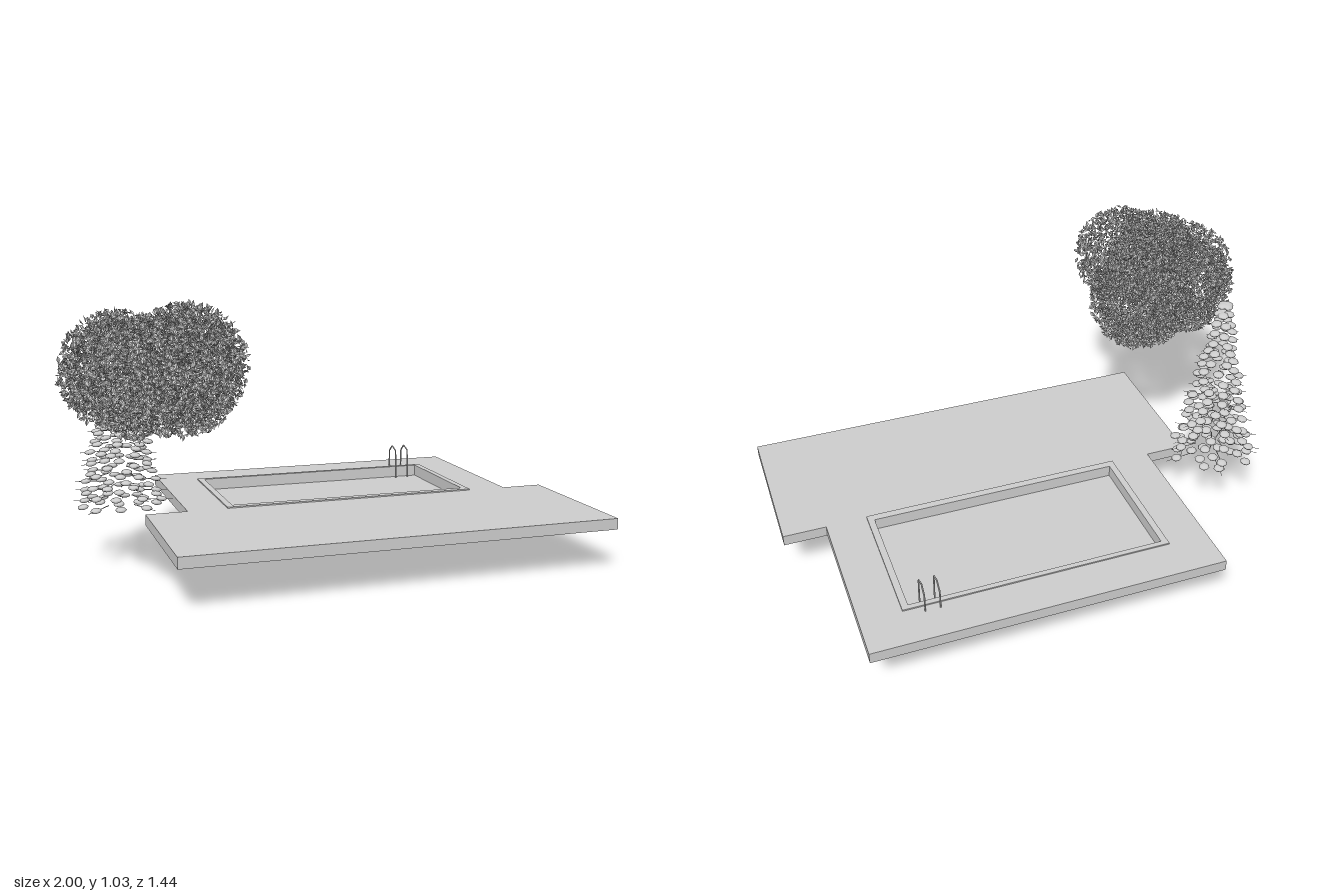
import * as THREE from 'three';
import { mergeGeometries } from 'three/addons/utils/BufferGeometryUtils.js';

const grey = new THREE.MeshStandardMaterial({ color: 0xcccccc, side: THREE.DoubleSide });
grey.name = 'pale grey';

// Small seeded random generator
function seeded(seed) {
  return () => {
    seed = (seed * 1664525 + 1013904223) % 4294967296;
    return seed / 4294967296;
  };
}

function add(parent, name, geometry) {
  const mesh = new THREE.Mesh(geometry, grey);
  mesh.name = name;
  parent.add(mesh);
  return mesh;
}

// Box given by its limits on each axis
function box(x0, x1, y0, y1, z0, z1) {
  return new THREE.BoxGeometry(x1 - x0, y1 - y0, z1 - z0)
    .translate((x0 + x1) / 2, (y0 + y1) / 2, (z0 + z1) / 2);
}

// Horizontal plate from [x, z] outlines, with an optional hole
function plate(outline, hole, y0, y1) {
  const points = (list) => list.map(([x, z]) => new THREE.Vector2(x, -z));
  const shape = new THREE.Shape(points(outline));
  if (hole) shape.holes.push(new THREE.Path(points(hole)));
  return new THREE.ExtrudeGeometry(shape, { depth: y1 - y0, bevelEnabled: false })
    .rotateX(-Math.PI / 2).translate(0, y0, 0);
}

const rect = (x0, x1, z0, z1) => [[x0, z1], [x1, z1], [x1, z0], [x0, z0]];

function createPool() {
  const pool = new THREE.Group();
  pool.name = 'pool';
  const outer = rect(-0.335, 0.68, -0.57, -0.038);
  const inner = rect(-0.31, 0.655, -0.55, -0.068);

  // Stepped terrace around the basin
  add(pool, 'deck', plate([
    [-0.65, 0.557], [0.998, 0.557], [0.998, -0.04], [0.835, -0.04],
    [0.835, -0.725], [-0.49, -0.725], [-0.49, -0.04], [-0.65, -0.04],
  ], outer, 0.155, 0.197));
  add(pool, 'coping', plate(outer, inner, 0.155, 0.202));

  // Basin closed by the water surface, above a narrower footing
  add(pool, 'basin', box(-0.33, 0.675, 0.024, 0.156, -0.565, -0.042));
  add(pool, 'footing', box(-0.31, 0.655, 0, 0.024, -0.543, -0.066));

  // Pair of bent handrails
  const bend = [[0.16, -0.515], [0.2, -0.516], [0.28, -0.522], [0.294, -0.563], [0.268, -0.594], [0.197, -0.595]];
  for (const x of [0.55, 0.605]) {
    const path = new THREE.CurvePath();
    for (let i = 1; i < bend.length; i++) {
      const [a, b] = [bend[i - 1], bend[i]].map(([y, z]) => new THREE.Vector3(x, y, z));
      path.add(new THREE.LineCurve3(a, b));
    }
    add(pool, 'handrail', new THREE.TubeGeometry(path, 40, 0.003, 6));
  }
  return pool;
}

// Conical tree: tiers of flattened leaf pads on thin twigs
function createConicalTree() {
  const tree = new THREE.Group();
  tree.name = 'conicalTree';
  const random = seeded(7);
  const pads = [], twigs = [];
  const tiers = 18;
  for (let i = 0; i < tiers; i++) {
    const t = i / (tiers - 1);
    const y = 0.23 + 0.667 * t;
    const reach = 0.138 * (1 - t) + 0.012;
    const rings = reach > 0.09 ? [1, 0.55] : [1];
    rings.forEach((share, ring) => {
      const count = Math.round((4 + 6 * (1 - t)) * (ring ? 0.6 : 1));
      for (let k = 0; k < count; k++) {
        const angle = (k + 0.5 * random()) / count * Math.PI * 2 + i * 2.4 + ring;
        const r = reach * share * (0.86 + 0.2 * random());
        const py = y + ring * 0.012 + (random() - 0.5) * 0.006;
        pads.push(new THREE.SphereGeometry(1, 8, 6)
          .scale(0.021, 0.009, 0.021)
          .rotateZ(-0.15)
          .translate(r, 0, 0).rotateY(angle).translate(0, py, 0));
        if (ring || k % 2) continue;
        const length = r * 0.5 + 0.02 + 0.025 * (1 - t);
        twigs.push(new THREE.CylinderGeometry(0.001, 0.002, length, 4)
          .rotateZ(-Math.PI / 2 - 0.06)
          .translate(r * 0.5 + length / 2, 0, 0).rotateY(angle).translate(0, py, 0));
      }
    });
  }
  add(tree, 'leafPads', mergeGeometries(pads));
  add(tree, 'twigs', mergeGeometries(twigs));
  tree.position.set(-0.725, 0, -0.13);
  return tree;
}

// Round crown: small folded leaves scattered through overlapping lobes
function createLeafyCrown() {
  const crown = new THREE.Group();
  crown.name = 'leafyCrown';
  const random = seeded(21);
  const lobes = [ // x, y, z, radius
    [-0.795, 0.79, 0.35, 0.2], [-0.75, 0.78, 0.26, 0.195], [-0.565, 0.74, 0.27, 0.2],
    [-0.565, 0.8, 0.27, 0.2], [-0.595, 0.82, 0.51, 0.2], [-0.735, 0.78, 0.51, 0.2],
  ];
  const positions = [];
  const dir = new THREE.Vector3(), p = new THREE.Vector3();
  const turn = new THREE.Euler(), corner = new THREE.Vector3();
  const leaf = [[-0.013, 0, 0], [0, 0.003, 0.007], [0.013, 0, 0],
    [-0.013, 0, 0], [0.013, 0, 0], [0, 0.003, -0.007]];
  for (const [x, y, z, radius] of lobes) {
    for (let i = 0; i < 1700; i++) {
      const h = random() * 2 - 1, a = random() * Math.PI * 2, s = Math.sqrt(1 - h * h);
      dir.set(s * Math.cos(a), h, s * Math.sin(a));
      p.set(x, y, z).addScaledVector(dir, radius * (1 - 0.3 * random() ** 1.5));
      turn.set(random() * 6.28, random() * 6.28, random() * 6.28);
      for (const c of leaf) {
        corner.fromArray(c).applyEuler(turn).add(p);
        positions.push(corner.x, corner.y, corner.z);
      }
    }
  }
  const geometry = new THREE.BufferGeometry();
  geometry.setAttribute('position', new THREE.Float32BufferAttribute(positions, 3));
  geometry.computeVertexNormals();
  add(crown, 'leaves', geometry);
  return crown;
}

export function createModel() {
  const model = new THREE.Group();
  model.name = 'poolTerrace';
  model.add(createPool(), createConicalTree(), createLeafyCrown());
  return model;
}
